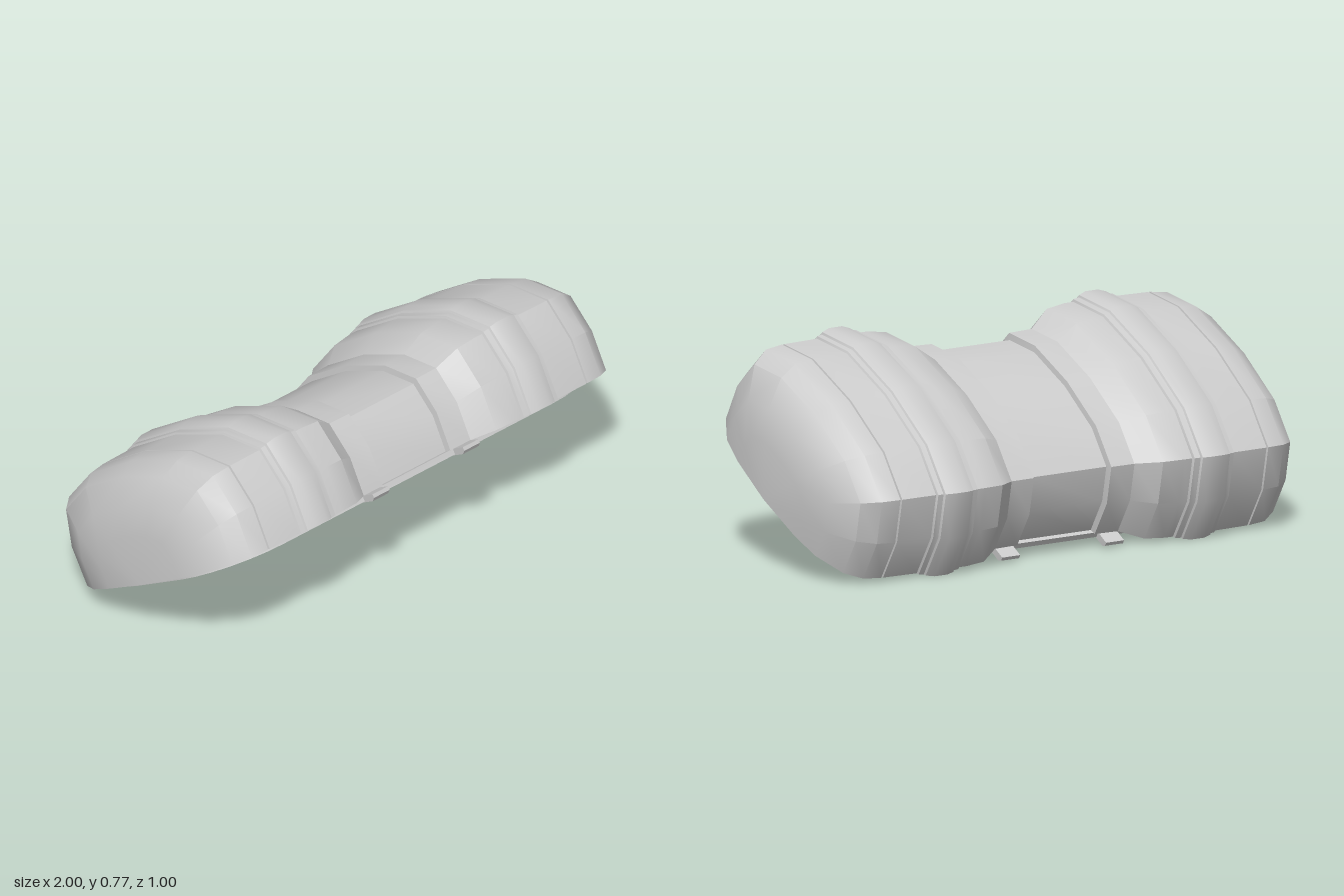
import * as THREE from 'three';
import { toCreasedNormals } from 'three/addons/utils/BufferGeometryUtils.js';

// Half arch of the lid section (depth, height), mirrored to a full arch
const half = [[0.502, 0], [0.507, 0.177], [0.453, 0.34], [0.271, 0.42]];
const arch = [...half, [0, 0.445], ...half.map(([u, v]) => [-u, v]).reverse()];

// Stations (x, section scale) from the middle to the +x end
const shellStations = [
  [0.16, 0.765], [0.164, 0.81], [0.26, 0.815], [0.34, 0.925], [0.42, 0.945],
  [0.455, 0.945], [0.459, 0.962], [0.482, 0.968], [0.486, 0.982], [0.515, 1], [0.57, 1],
  [0.602, 0.98], [0.606, 0.965], [0.626, 0.96], [0.63, 0.945],
  [0.771, 0.94], [0.773, 0.925], [0.777, 0.925], [0.779, 0.94],
  [0.85, 0.922], [0.91, 0.84], [0.967, 0.63], [0.988, 0.4], [1, 0.001],
];
const cavityStations = [
  [0.155, 0.73], [0.16, 0.745], [0.7, 0.745], [0.78, 0.715], [0.83, 0.63],
  [0.865, 0.45], [0.88, 0.25], [0.885, 0.001],
];
const mirrored = (st) => [...st.map(([x, s]) => [-x, s]).reverse(), ...st];

// Skin of scaled arches along x
function loft(stations, inward) {
  const pos = [], idx = [], n = arch.length;
  for (const [x, s] of stations) for (const [u, v] of arch) pos.push(x, v * s, u * s);
  for (let i = 0; i < stations.length - 1; i++) {
    for (let j = 0; j < n - 1; j++) {
      const a = i * n + j, b = a + n, c = a + 1, d = b + 1;
      if (inward) idx.push(a, c, b, b, c, d);
      else idx.push(a, b, c, b, d, c);
    }
  }
  const g = new THREE.BufferGeometry();
  g.setAttribute('position', new THREE.Float32BufferAttribute(pos, 3));
  g.setIndex(idx);
  return toCreasedNormals(g, 0.5);
}

// Outline of a loft where it meets the rim plane
function rimOutline(stations) {
  const w = arch[0][0];
  return [
    ...stations.map(([x, s]) => new THREE.Vector2(x, -s * w)),
    ...stations.map(([x, s]) => new THREE.Vector2(x, s * w)).reverse(),
  ];
}

function roundedOutline(hx, hz, r) {
  const p = [];
  for (const [sx, sz, a0] of [[1, 1, 0], [-1, 1, 1], [-1, -1, 2], [1, -1, 3]]) {
    for (let k = 0; k <= 6; k++) {
      const a = (a0 + k / 6) * Math.PI / 2;
      p.push(new THREE.Vector2(sx * (hx - r) + r * Math.cos(a), sz * (hz - r) + r * Math.sin(a)));
    }
  }
  return p;
}

export function createModel() {
  const model = new THREE.Group();
  const lid = new THREE.Group();
  lid.name = 'lid';
  const mat = new THREE.MeshStandardMaterial({ color: 0xcccccc });
  const add = (geo, name) => {
    const m = new THREE.Mesh(geo, mat);
    m.name = name;
    lid.add(m);
    return m;
  };

  const outer = mirrored(shellStations), inner = mirrored(cavityStations);
  add(loft(outer, false), 'outerShell');
  add(loft(inner, true), 'innerCavity');

  // Flat rim joining shell and cavity
  const rim = new THREE.Shape(rimOutline(outer));
  rim.holes.push(new THREE.Path(rimOutline(inner)));
  add(new THREE.ShapeGeometry(rim).rotateX(Math.PI / 2), 'rimFace');

  // Raised sealing lip below the rim
  const lip = new THREE.Shape(roundedOutline(0.925, 0.4, 0.27));
  lip.holes.push(new THREE.Path(roundedOutline(0.885, 0.375, 0.25)));
  const lipGeo = new THREE.ExtrudeGeometry(lip, { depth: 0.022, bevelEnabled: false });
  add(toCreasedNormals(lipGeo.rotateX(Math.PI / 2), 0.5), 'sealingLip');

  // Hinge and latch tabs
  const tab = new THREE.Shape([[0.37, 0], [0.37, -0.025], [0.445, -0.025], [0.458, -0.014], [0.458, 0]]
    .map(([u, v]) => new THREE.Vector2(u, v)));
  const tabGeo = new THREE.ExtrudeGeometry(tab, { depth: 0.076, bevelEnabled: false })
    .translate(0, 0, -0.038).rotateY(-Math.PI / 2);
  for (const x of [-0.22, 0.22]) {
    add(tabGeo, 'latchTab').position.x = x;
    const hinge = add(tabGeo, 'hingeTab');
    hinge.position.x = x;
    hinge.rotation.y = Math.PI;
  }

  // The lid rests tilted on its back edge
  lid.rotation.x = -Math.PI / 6;
  lid.position.set(0, 0.25, 0.065);
  model.add(lid);
  return model;
}
